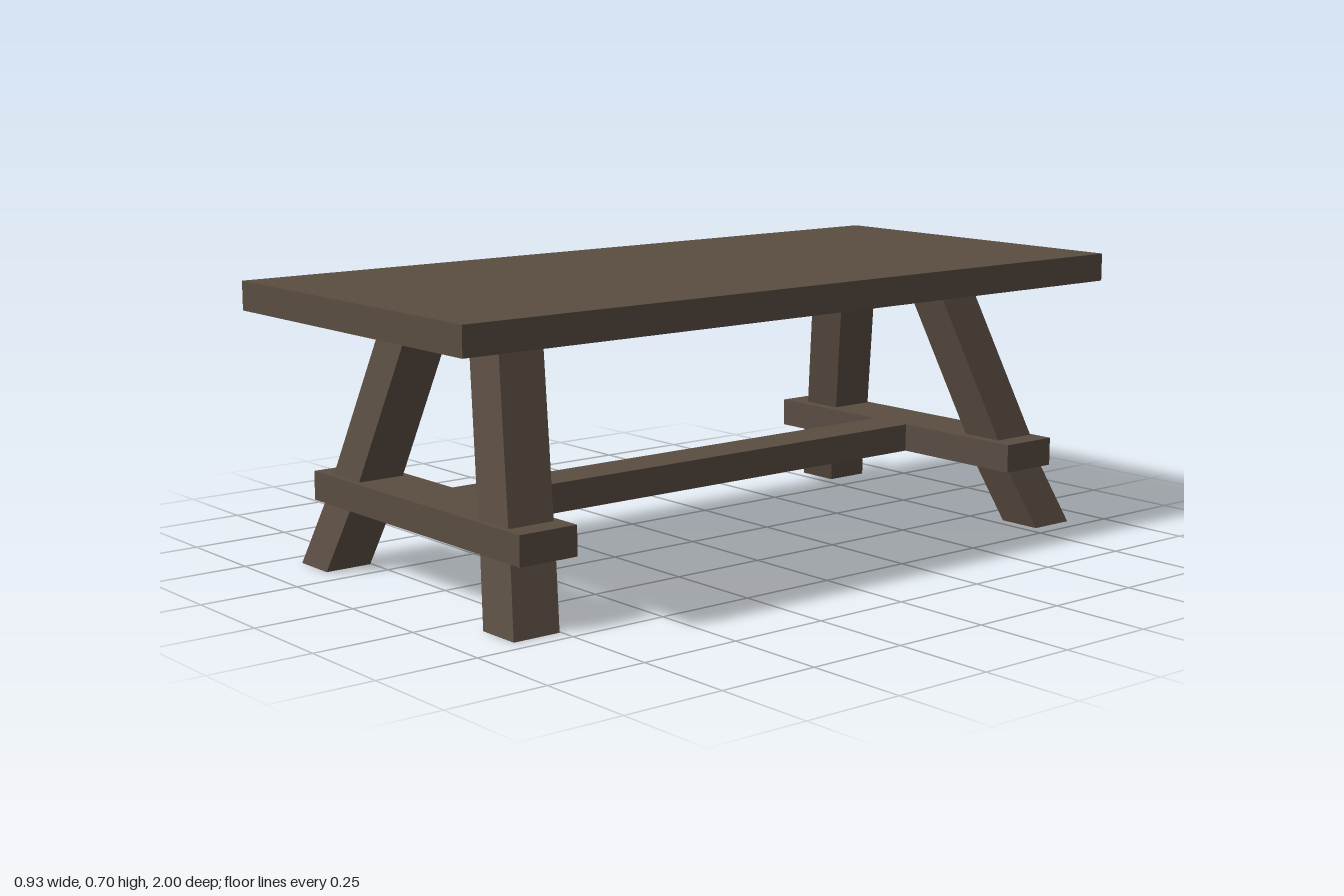
import * as THREE from 'three';

const wood = new THREE.MeshStandardMaterial({ color: 0x5a4d42 });
wood.name = 'dark wood';

// Box given by its lower and upper corners
function board(name, [x0, y0, z0], [x1, y1, z1]) {
  const mesh = new THREE.Mesh(new THREE.BoxGeometry(x1 - x0, y1 - y0, z1 - z0), wood);
  mesh.position.set((x0 + x1) / 2, (y0 + y1) / 2, (z0 + z1) / 2);
  mesh.name = name;
  return mesh;
}

// Splayed leg: level square sections, centred on xs[i], zs[i] at height LEVELS[i]
const LEVELS = [0, 0.155, 0.227, 0.633];
function leg(name, xs, zs) {
  const box = new THREE.BoxGeometry(0.116, 3, 0.122, 1, 3, 1);
  const p = box.attributes.position;
  for (let i = 0; i < p.count; i++) {
    const k = Math.round(p.getY(i) + 1.5);
    p.setXYZ(i, p.getX(i) + xs[k], LEVELS[k], p.getZ(i) + zs[k]);
  }
  const geometry = box.toNonIndexed();
  geometry.computeVertexNormals();
  const mesh = new THREE.Mesh(geometry, wood);
  mesh.name = name;
  return mesh;
}

export function createModel() {
  const table = new THREE.Group();
  table.name = 'trestleTable';

  table.add(board('tableTop', [-0.464, 0.632, -1], [0.464, 0.703, 1]));

  // H-shaped brace
  table.add(board('frontCrossbar', [-0.431, 0.155, 0.685], [0.431, 0.227, 0.84]));
  table.add(board('backCrossbar', [-0.431, 0.155, -0.855], [0.431, 0.227, -0.695]));
  table.add(board('stretcher', [-0.06, 0.155, -0.695], [0.06, 0.227, 0.685]));

  // Leg centre lines, from foot to top
  const sides = { Left: [0.398, 0.334, 0.312, 0.174], Right: [-0.382, -0.331, -0.304, -0.176] };
  const ends = { front: [0.815, 0.776, 0.765, 0.69], back: [-0.843, -0.798, -0.785, -0.686] };
  for (const [end, zs] of Object.entries(ends)) {
    for (const [side, xs] of Object.entries(sides)) table.add(leg(`${end}${side}Leg`, xs, zs));
  }
  return table;
}
